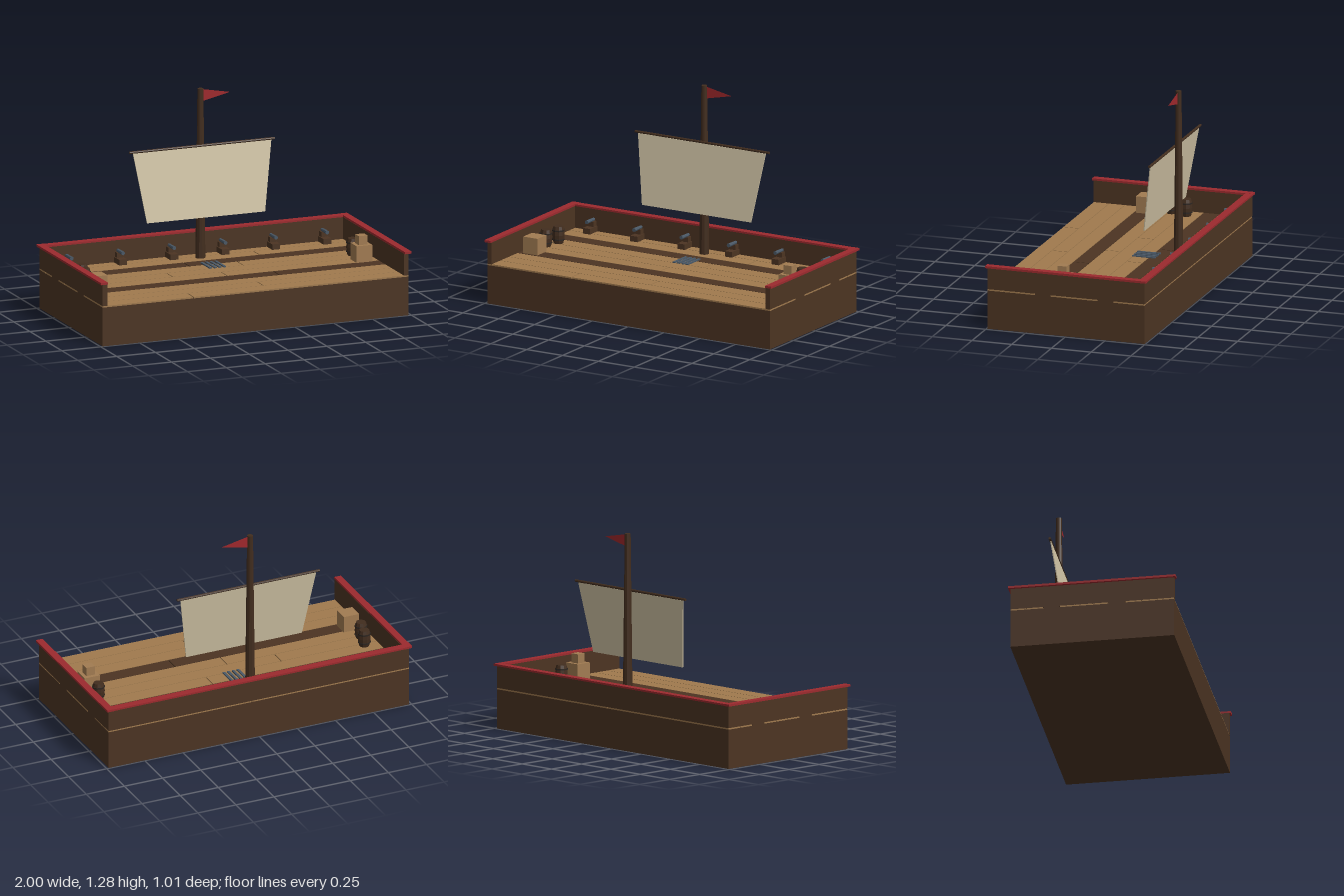
import * as THREE from 'three';

const mat = (name, color, extra = {}) => {
  const m = new THREE.MeshStandardMaterial({ color, flatShading: true, ...extra });
  m.name = name;
  return m;
};

export function createModel() {
  const root = new THREE.Group();
  root.name = 'shipDeck';
  const dark = mat('darkWood', 0x4c3422);
  const mastWood = mat('mastWood', 0x422d1e);
  const plankWood = mat('plankWood', 0xa07a4e);
  const crateWood = mat('crateWood', 0xa27c52);
  const red = mat('redPaint', 0x9c2a2e);
  const cloth = mat('sailCloth', 0xd0c3a5, { side: THREE.DoubleSide });
  const flagRed = mat('flagRed', 0xa0282c, { side: THREE.DoubleSide });
  const steel = mat('steel', 0x4a5866);
  const iron = mat('darkIron', 0x2c2520);

  const add = (name, geo, material, x, y, z, parent = root) => {
    const m = new THREE.Mesh(geo, material);
    m.name = name;
    m.position.set(x, y, z);
    parent.add(m);
    return m;
  };
  // Box given by its limits on each axis
  const box = (name, material, x0, x1, y0, y1, z0, z1, parent = root) =>
    add(name, new THREE.BoxGeometry(x1 - x0, y1 - y0, z1 - z0), material,
      (x0 + x1) / 2, (y0 + y1) / 2, (z0 + z1) / 2, parent);

  const HX = 0.985, HZ = 0.495, DECK = 0.246;

  // Hull
  box('hull', dark, -HX, HX, 0, 0.237, -HZ, HZ);

  // Deck planks, each row split by one butt joint
  const joints = [0.045, 0.35, -0.14, 0.165, -0.33, -0.02, 0.275, null, 0.09, -0.4];
  joints.forEach((j, i) => {
    const z0 = -HZ + i * 0.099 + 0.002, z1 = z0 + 0.095;
    const m = i === 2 || i === 6 ? dark : plankWood;
    const spans = j === null ? [[-HX, HX]] : [[-HX, j - 0.003], [j + 0.003, HX]];
    for (const [a, b] of spans) box('deckPlank', m, a, b, 0.237, DECK, z0, z1);
  });

  // Bulwarks on three sides, with red rails
  box('backWall', dark, -HX, HX, DECK, 0.38, -HZ, -0.46);
  box('backRail', red, -1, 1, 0.38, 0.391, -0.507, -0.46);
  for (const s of [-1, 1]) {
    const x = s * 0.97;
    box('sideWall', dark, x - 0.015, x + 0.015, DECK, 0.38, -0.46, HZ);
    box('sideRail', red, s * 0.978 - 0.022, s * 0.978 + 0.022, 0.379, 0.392, -0.507, 0.505);
  }

  // Mast and yard
  add('mast', new THREE.CylinderGeometry(0.018, 0.03, 1.045, 10), mastWood, 0, 0.7625, -0.37);
  const yard = add('yard', new THREE.CylinderGeometry(0.008, 0.008, 0.935, 8), mastWood, 0, 0.94, -0.346);
  yard.rotation.z = Math.PI / 2;

  // Tapered sail, leaning forward at the foot
  const sailShape = new THREE.Shape([[-0.38, -0.424], [0.38, -0.424], [0.445, 0], [-0.445, 0]]
    .map(([x, y]) => new THREE.Vector2(x, y)));
  const sail = add('sail', new THREE.ExtrudeGeometry(sailShape, { depth: 0.006, bevelEnabled: false }),
    cloth, 0, 0.932, -0.347);
  sail.rotation.x = -0.146;

  // Pennant
  const flagShape = new THREE.Shape([[0.01, 1.28], [0.01, 1.205], [0.19, 1.245]]
    .map(([x, y]) => new THREE.Vector2(x, y)));
  add('flag', new THREE.ShapeGeometry(flagShape), flagRed, 0, 0, -0.37);

  // Cannons along the back wall
  for (const x of [-0.825, -0.495, -0.165, 0.165, 0.49, 0.82]) {
    const g = new THREE.Group();
    g.name = 'cannon';
    g.position.x = x;
    root.add(g);
    box('carriage', dark, -0.025, 0.025, DECK, 0.28, -0.46, -0.375, g);
    box('barrelRest', dark, -0.018, 0.018, 0.28, 0.31, -0.46, -0.425, g);
    const b = add('cannonBarrel', new THREE.CylinderGeometry(0.012, 0.01, 0.085, 8), steel, 0, 0.318, -0.418, g);
    b.rotation.x = Math.PI / 2;
  }

  // Hatch grating
  for (const x of [-0.045, -0.015, 0.015, 0.045])
    box('gratingBar', steel, x - 0.008, x + 0.008, DECK, 0.253, -0.24, -0.096);

  // Barrels with two hoops
  const profile = [[0, 0], [0.03, 0], [0.036, 0.025], [0.038, 0.052], [0.036, 0.08], [0.03, 0.105], [0, 0.105]]
    .map(([r, y]) => new THREE.Vector2(r, y));
  for (const [x, z] of [[-0.865, -0.12], [-0.89, -0.02], [0.86, -0.08]]) {
    add('barrel', new THREE.LatheGeometry(profile, 10), mastWood, x, DECK, z);
    for (const y of [0.025, 0.08])
      add('barrelHoop', new THREE.CylinderGeometry(0.039, 0.039, 0.008, 10), iron, x, DECK + y, z);
  }

  // Crates
  box('leftCrate', crateWood, -0.925, -0.825, DECK, 0.348, 0.083, 0.183);
  box('lowerCrate', crateWood, 0.81, 0.91, DECK, 0.348, 0.007, 0.107);
  box('upperCrate', crateWood, 0.832, 0.888, 0.348, 0.403, 0.03, 0.086);

  return root;
}
